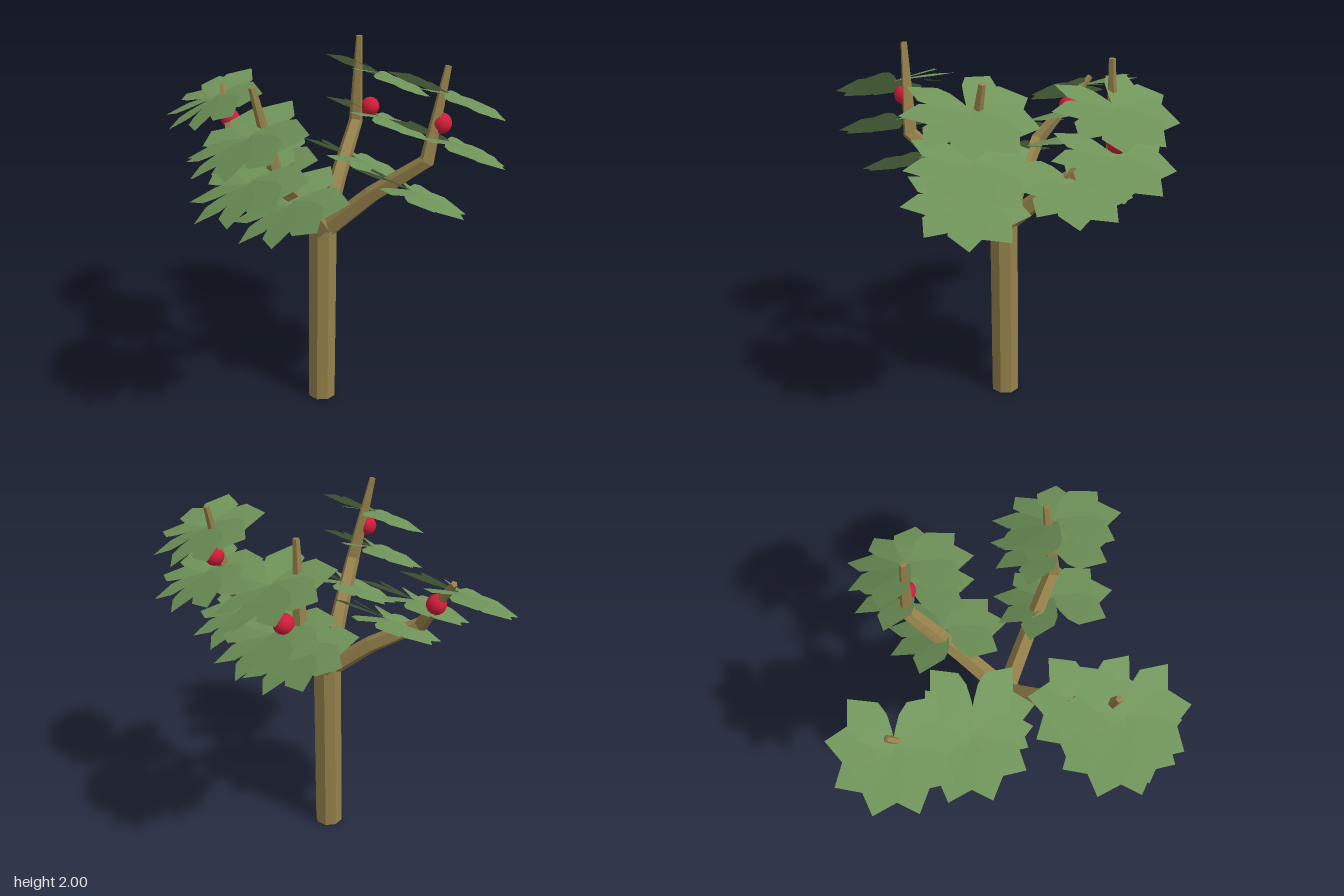
import * as THREE from 'three';

const bark = new THREE.MeshStandardMaterial({ color: 0x94804a, flatShading: true });
const barkOpen = new THREE.MeshStandardMaterial({ color: 0x94804a, flatShading: true, side: THREE.DoubleSide });
const green = new THREE.MeshStandardMaterial({ color: 0x70945a, flatShading: true, side: THREE.DoubleSide });
const red = new THREE.MeshStandardMaterial({ color: 0xd01c38 });

const V = (p) => new THREE.Vector3(...p);
const FORK = [0.015, 1.03, 0.125];

// Each limb: bent branch, centres of its leaf rosettes, and one fruit
const limbs = [
  { name: 'frontLeft', elbow: [0.42, 1.5, 0.5], tip: [0.535, 1.975, 0.47], fruit: [0.5, 1.69, 0.49],
    rosettes: [[0.51, 1.84, 0.52], [0.53, 1.59, 0.52], [0.34, 1.34, 0.48]] },
  { name: 'backLeft', elbow: [0.42, 1.5, -0.3], tip: [0.42, 1.995, -0.28], fruit: [0.5, 1.58, -0.28],
    rosettes: [[0.53, 1.77, -0.24], [0.53, 1.52, -0.24], [0.33, 1.33, -0.12]] },
  { name: 'frontRight', elbow: [-0.39, 1.5, 0.5], tip: [-0.505, 1.975, 0.47], fruit: [-0.485, 1.69, 0.49],
    rosettes: [[-0.54, 1.75, 0.52], [-0.54, 1.53, 0.52], [-0.31, 1.37, 0.47]] },
  { name: 'backRight', elbow: [-0.34, 1.37, -0.26], tip: [-0.295, 1.72, -0.58], fruit: [-0.3, 1.56, -0.44],
    rosettes: [[-0.34, 1.65, -0.56], [-0.34, 1.48, -0.19], [-0.2, 1.38, -0.13]] },
];

// Faceted tapering tube through a few points
function loft(points, radii, sides) {
  const pos = [], index = [], n = points.length;
  const ref = points[n - 1].clone().sub(points[0]).setY(0).normalize().cross(new THREE.Vector3(0, 1, 0));
  points.forEach((p, i) => {
    const t = new THREE.Vector3();
    if (i > 0) t.add(p.clone().sub(points[i - 1]).normalize());
    if (i < n - 1) t.add(points[i + 1].clone().sub(p).normalize());
    t.normalize();
    const u = ref.clone().addScaledVector(t, -ref.dot(t)).normalize();
    const v = t.clone().cross(u);
    for (let j = 0; j < sides; j++) {
      const a = (j + 0.5) / sides * Math.PI * 2;
      const q = p.clone().addScaledVector(u, Math.cos(a) * radii[i]).addScaledVector(v, Math.sin(a) * radii[i]);
      pos.push(q.x, q.y, q.z);
      if (i < n - 1) {
        const A = i * sides + j, B = i * sides + (j + 1) % sides;
        index.push(A, B, A + sides, B, B + sides, A + sides);
      }
    }
  });
  const g = new THREE.BufferGeometry();
  g.setAttribute('position', new THREE.Float32BufferAttribute(pos, 3));
  g.setIndex(index);
  g.computeVertexNormals();
  return g;
}

// Broad pointed leaf along +x, slightly arched and banked so neighbours overlap
function leafGeometry() {
  const widths = [[0, 0.015], [0.08, 0.058], [0.15, 0.09], [0.22, 0.097], [0.33, 0]];
  const pos = [], index = [];
  widths.forEach(([s, w], i) => {
    const y = 0.01 - 0.15 * s * s;
    pos.push(s, y + w * 0.22, -w, s, y - w * 0.22, w);
    if (i) {
      const a = 2 * i - 2;
      index.push(a, a + 1, a + 2, a + 1, a + 3, a + 2);
    }
  });
  const g = new THREE.BufferGeometry();
  g.setAttribute('position', new THREE.Float32BufferAttribute(pos, 3));
  g.setIndex(index);
  g.computeVertexNormals();
  return g;
}

export function createModel() {
  const tree = new THREE.Group();
  tree.name = 'fruitTree';

  // Trunk, open at the foot
  const trunk = new THREE.Mesh(new THREE.CylinderGeometry(0.08, 0.08, 1.06, 8, 1, true), barkOpen);
  trunk.name = 'trunk';
  trunk.position.set(FORK[0], 0.53, FORK[2]);
  tree.add(trunk);

  const leafGeo = leafGeometry();
  const fruitGeo = new THREE.SphereGeometry(0.054, 20, 14);

  for (const limb of limbs) {
    const group = new THREE.Group();
    group.name = limb.name + 'Limb';
    const side = Math.sign(limb.tip[0]);

    // Branch with a slight knee, an elbow and a closed tip
    const fork = V(FORK), elbow = V(limb.elbow), tip = V(limb.tip);
    const knee = fork.clone().lerp(elbow, 0.48);
    knee.y += 0.025;
    const end = tip.clone().add(tip.clone().sub(elbow).setLength(0.003));
    const branch = new THREE.Mesh(
      loft([fork, knee, elbow, tip, end], [0.055, 0.048, 0.042, 0.018, 0], 5), bark);
    branch.name = 'branch';
    group.add(branch);

    // Rosettes of eight leaves, tilted away from the trunk, with a gap on the inner side
    const gap = side > 0 ? 179 : 14;
    for (const centre of limb.rosettes) {
      const rosette = new THREE.Group();
      rosette.name = 'leafRosette';
      rosette.position.set(...centre);
      rosette.rotation.z = -side * THREE.MathUtils.degToRad(24);
      for (let k = 1; k <= 8; k++) {
        const leaf = new THREE.Mesh(leafGeo, green);
        leaf.name = 'leaf';
        leaf.rotation.y = -THREE.MathUtils.degToRad(gap + k * 40);
        rosette.add(leaf);
      }
      group.add(rosette);
    }

    // Fruit
    const fruit = new THREE.Mesh(fruitGeo, red);
    fruit.name = 'fruit';
    fruit.position.set(...limb.fruit);
    group.add(fruit);
    tree.add(group);
  }
  return tree;
}
